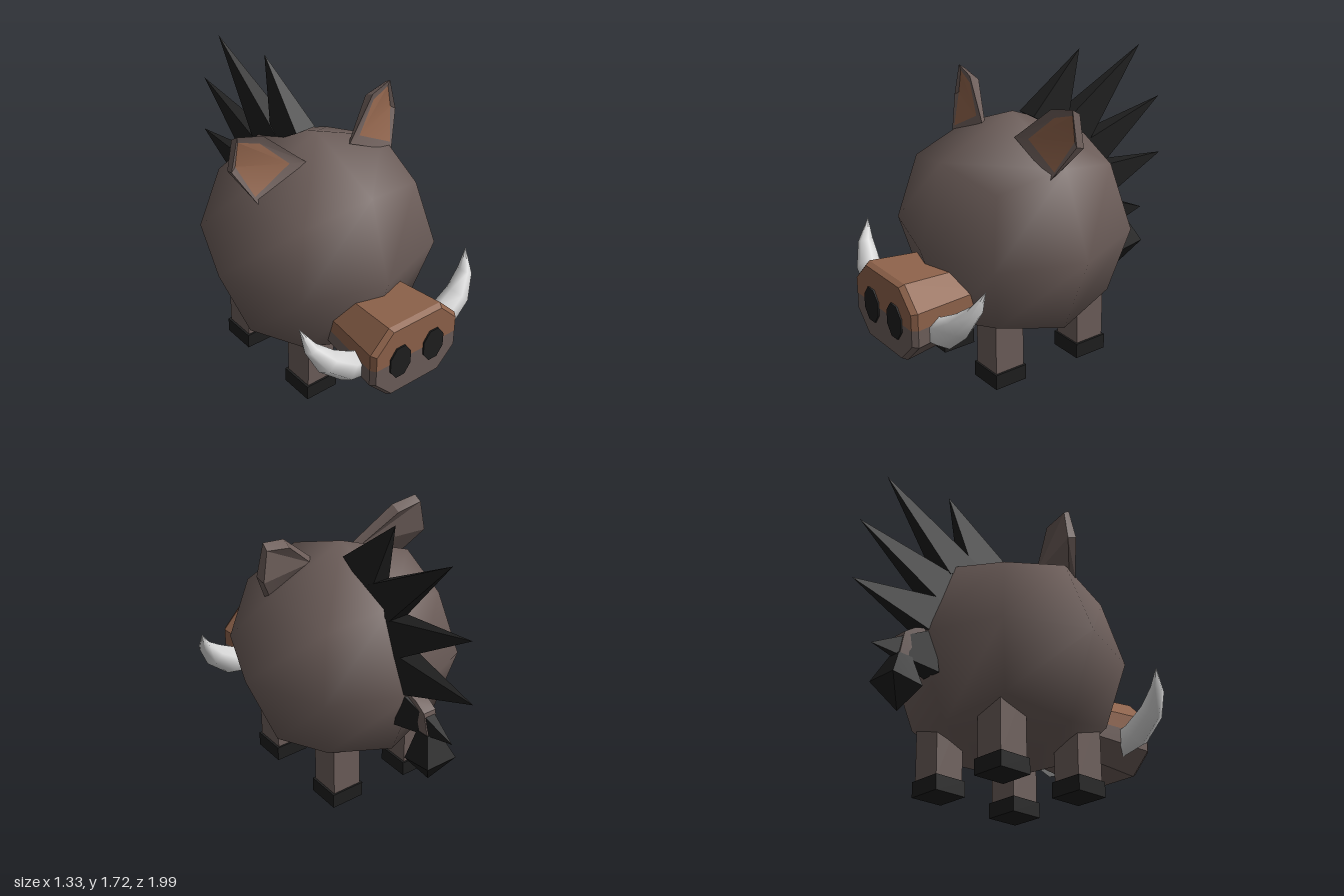
import * as THREE from 'three';
import { mergeVertices, toCreasedNormals } from 'three/addons/utils/BufferGeometryUtils.js';

const paint = (name, color) => {
  const m = new THREE.MeshStandardMaterial({ color });
  m.name = name;
  return m;
};

// Closed skin over rings of equal point count; the last cap may take a second material.
function loft(rings, crease) {
  const tris = [];
  const add = (a, b, c) => {
    const [A, B, C] = [a, b, c].map(p => new THREE.Vector3(...p));
    if (B.clone().sub(A).cross(C.clone().sub(A)).length() > 1e-7) tris.push([A, B, C]);
  };
  const n = rings[0].length;
  const cap = (r, flip) => {
    for (let i = 1; i < n - 1; i++) flip ? add(r[0], r[i + 1], r[i]) : add(r[0], r[i], r[i + 1]);
  };
  cap(rings[0], true);
  for (let k = 0; k < rings.length - 1; k++) {
    for (let i = 0; i < n; i++) {
      const j = (i + 1) % n, p = rings[k], q = rings[k + 1];
      add(p[i], p[j], q[j]);
      add(p[i], q[j], q[i]);
    }
  }
  const split = tris.length * 3;
  cap(rings[rings.length - 1], false);
  // turn the faces outward
  const volume = tris.reduce((s, [a, b, c]) => s + a.dot(b.clone().cross(c)), 0);
  const pts = tris.flatMap(([a, b, c]) => (volume < 0 ? [a, c, b] : [a, b, c]));
  let g = new THREE.BufferGeometry().setFromPoints(pts);
  g = toCreasedNormals(g, crease);
  g.addGroup(0, split, 0);
  g.addGroup(split, pts.length - split, 1);
  return g;
}

export function createModel() {
  const model = new THREE.Group();
  const hide = paint('hide brown', 0x6d5e5a);
  const skin = paint('snout tan', 0x8f634b);
  const black = paint('bristle black', 0x1e1e1e);
  const ivory = paint('tusk ivory', 0xdadada);
  const put = (name, geometry, material) => {
    const mesh = new THREE.Mesh(geometry, material);
    mesh.name = name;
    model.add(mesh);
    return mesh;
  };
  const skinOver = (name, rings, mat, crease = 0.5, capMat = mat) =>
    put(name, loft(rings, crease), [mat, capMat]);

  // Body: a coarse cube rounded into a ball, slightly flattened front and back
  let body = new THREE.BoxGeometry(2, 2, 2, 2, 2, 2);
  body.deleteAttribute('normal');
  body.deleteAttribute('uv');
  body = mergeVertices(body);
  body.clearGroups();
  const pos = body.attributes.position, v = new THREE.Vector3();
  for (let i = 0; i < pos.count; i++) {
    v.fromBufferAttribute(pos, i).normalize().multiplyScalar(0.667);
    if (v.z > 0.6) v.z = 0.62;
    pos.setXYZ(i, v.x, v.y, v.z);
  }
  body.computeVertexNormals();
  put('body', body, hide).position.set(0, 0.783, 0.127);

  // Snout: tan upper half and brown lower half
  const half = [[0.3, 0], [0.3, 0.1], [0.18, 0.225], [-0.18, 0.225], [-0.3, 0.1], [-0.3, 0]];
  const stations = [[0.5, 0.82], [0.96, 1], [0.99, 0.93]];
  for (const [name, s, mat] of [['snoutTop', 1, skin], ['snoutBottom', -1, hide]]) {
    skinOver(name, stations.map(([z, k]) => half.map(([x, y]) => [x * k, 0.494 + s * y * k, z])), mat);
  }

  for (const s of [1, -1]) {
    const side = s > 0 ? 'left' : 'right';

    // Nostril
    const nostril = new THREE.CylinderGeometry(1, 1, 0.016, 8).rotateY(Math.PI / 8).rotateX(Math.PI / 2);
    nostril.scale(0.076, 0.106, 1);
    put(side + 'Nostril', nostril, black).position.set(s * 0.117, 0.487, 0.991);

    // Tusk: x, y, z, radius across, radius in depth, tilt
    const tusk = [
      [0.2, 0.42, 0.82, 0.08, 0.07, 1.75], [0.34, 0.455, 0.82, 0.088, 0.08, 2.0],
      [0.47, 0.55, 0.81, 0.07, 0.07, 2.35], [0.55, 0.655, 0.775, 0.038, 0.045, 2.7],
      [0.588, 0.77, 0.73, 0, 0, 2.8],
    ].map(([x, y, z, a, b, t]) => Array.from({ length: 6 }, (_, i) => {
      const u = (i / 6) * Math.PI * 2, c = Math.cos(u) * a;
      return [s * (x + c * Math.cos(t)), y + c * Math.sin(t), z + Math.sin(u) * b];
    }));
    skinOver(side + 'Tusk', tusk, ivory, 1.2);

    // Ear: back, front rim and sunken tan inside
    const ear = [
      [[0.17, 1.34, 0.19], [0.37, 1.53, 0.09], [0.52, 1.56, 0.08], [0.55, 1.38, 0.075], [0.45, 1.22, 0.18]],
      [[0.15, 1.36, 0.225], [0.37, 1.56, 0.15], [0.515, 1.59, 0.125], [0.56, 1.4, 0.13], [0.46, 1.21, 0.22]],
      [[0.24, 1.37, 0.2], [0.385, 1.515, 0.14], [0.508, 1.555, 0.118], [0.53, 1.42, 0.12], [0.465, 1.25, 0.2]],
    ].map(r => r.map(([x, y, z]) => [s * x, y, z]));
    skinOver(side + 'Ear', ear, hide, 0.4, skin);

    // Legs and hooves
    for (const [end, z] of [['Front', 0.408], ['Back', -0.163]]) {
      put(side + end + 'Leg', new THREE.BoxGeometry(0.18, 0.45, 0.185), hide).position.set(s * 0.256, 0.3, z);
      put(side + end + 'Hoof', new THREE.BoxGeometry(0.206, 0.09, 0.206), black).position.set(s * 0.256, 0.045, z);
    }
  }

  // Mane: four-sided spikes; base start, base end and tip as [z, y]
  const spikes = [
    [[0.03, 1.41], [-0.2, 1.26], [-0.34, 1.72]],
    [[-0.14, 1.3], [-0.37, 1.18], [-0.79, 1.67]],
    [[-0.32, 1.18], [-0.43, 0.98], [-0.96, 1.325]],
    [[-0.42, 1.01], [-0.48, 0.78], [-0.99, 0.96]],
    [[-0.48, 0.8], [-0.44, 0.56], [-0.85, 0.63]],
  ];
  spikes.forEach(([a, b, t], i) => {
    const w = 0.065;
    const base = [[w, a[1], a[0]], [w, b[1], b[0]], [-w, b[1], b[0]], [-w, a[1], a[0]]];
    skinOver('maneSpike' + (i + 1), [base, base.map(() => [0, t[1], t[0]])], black);
  });

  // Tail: bent square stem with a dark tuft; each ring runs from inner to outer edge
  const ring = (w, [z1, y1], [z2, y2]) => [[w, y1, z1], [w, y2, z2], [-w, y2, z2], [-w, y1, z1]];
  skinOver('tail', [
    ring(0.04, [-0.46, 0.72], [-0.46, 0.82]), ring(0.04, [-0.59, 0.7], [-0.59, 0.785]),
    ring(0.04, [-0.61, 0.66], [-0.66, 0.74]), ring(0.035, [-0.61, 0.58], [-0.69, 0.59]),
  ], hide);
  skinOver('tailTuft', [
    ring(0.04, [-0.605, 0.605], [-0.695, 0.61]), ring(0.1, [-0.578, 0.43], [-0.775, 0.46]),
    ring(0, [-0.665, 0.295], [-0.665, 0.295]),
  ], black);

  return model;
}
